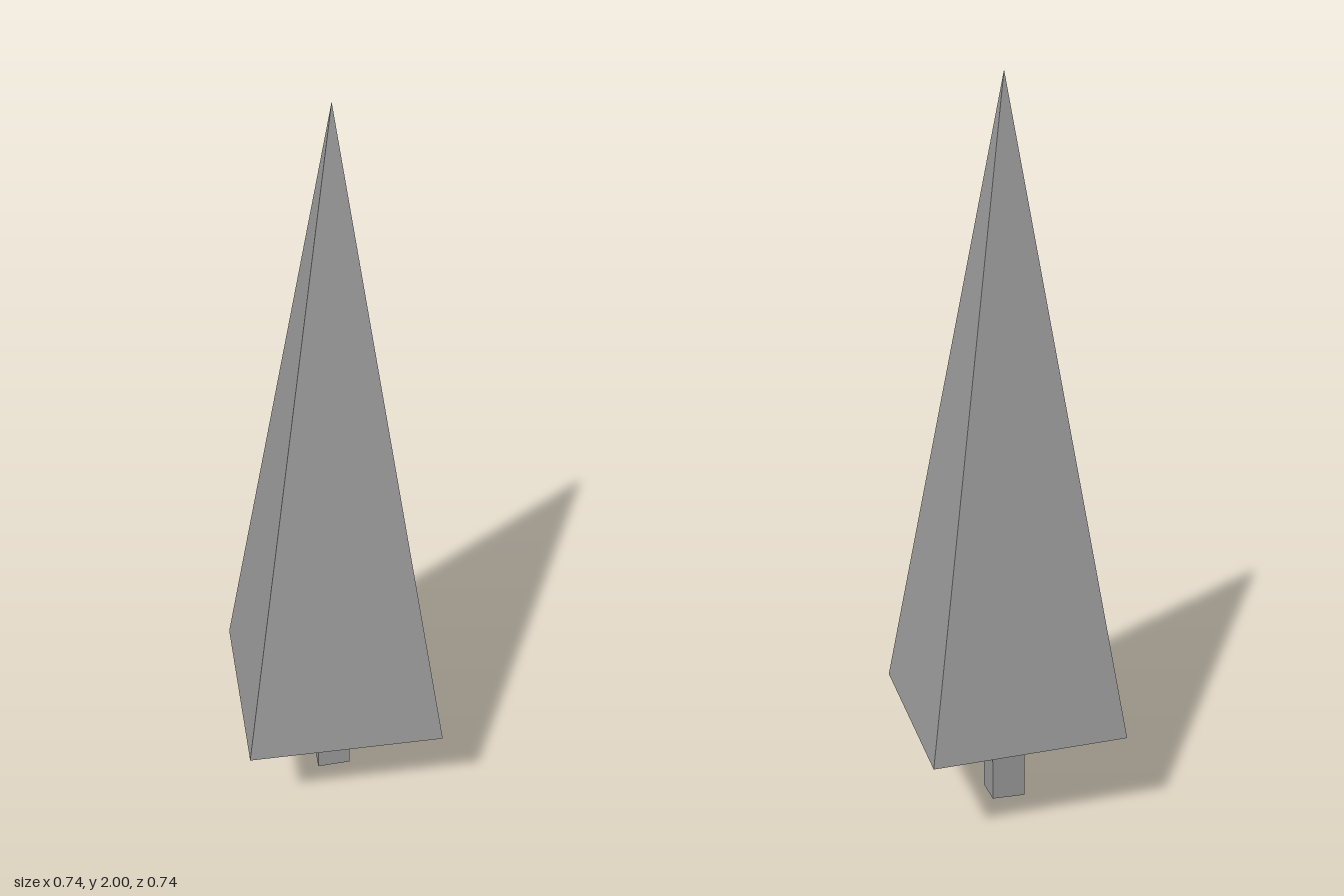
import * as THREE from 'three';

const TURN = 0.09;

// Four-sided solid with corners near the axes; its underside is skewed by slopes in x and z.
function fourSided(name, { topRadius, bottomRadius, bottomY, topY, slopeX, slopeZ, topShift, open }) {
  const height = topY - bottomY;
  const geo = new THREE.CylinderGeometry(topRadius, bottomRadius, height, 4, 1, open);
  geo.rotateY(TURN);
  const p = geo.attributes.position;
  for (let i = 0; i < p.count; i++) {
    const x = p.getX(i), y = p.getY(i), z = p.getZ(i);
    if (y < 0) p.setY(i, y + x * slopeX + z * slopeZ);
    else p.setXYZ(i, x + topShift, y, z + topShift);
  }
  geo.translate(0, bottomY + height / 2, 0);
  geo.computeVertexNormals();
  const mesh = new THREE.Mesh(
    geo,
    new THREE.MeshStandardMaterial({
      color: 0x9b9b9b,
      flatShading: true,
      side: open ? THREE.DoubleSide : THREE.FrontSide,
    })
  );
  mesh.name = name;
  return mesh;
}

export function createModel() {
  const tree = new THREE.Group();
  tree.name = 'tree';

  // Tall pyramid of foliage with a slightly tilted base
  tree.add(fourSided('foliage', {
    topRadius: 0, bottomRadius: 0.373, bottomY: 0.282, topY: 2,
    slopeX: -0.019, slopeZ: -0.017, topShift: -0.005, open: false,
  }));

  // Hollow square trunk, open below, reaching a little way into the foliage
  const trunk = fourSided('trunk', {
    topRadius: 0.065, bottomRadius: 0.065, bottomY: 0.009, topY: 0.36,
    slopeX: -0.07, slopeZ: -0.13, topShift: 0, open: true,
  });
  trunk.position.set(-0.004, 0, -0.003);
  tree.add(trunk);

  return tree;
}
